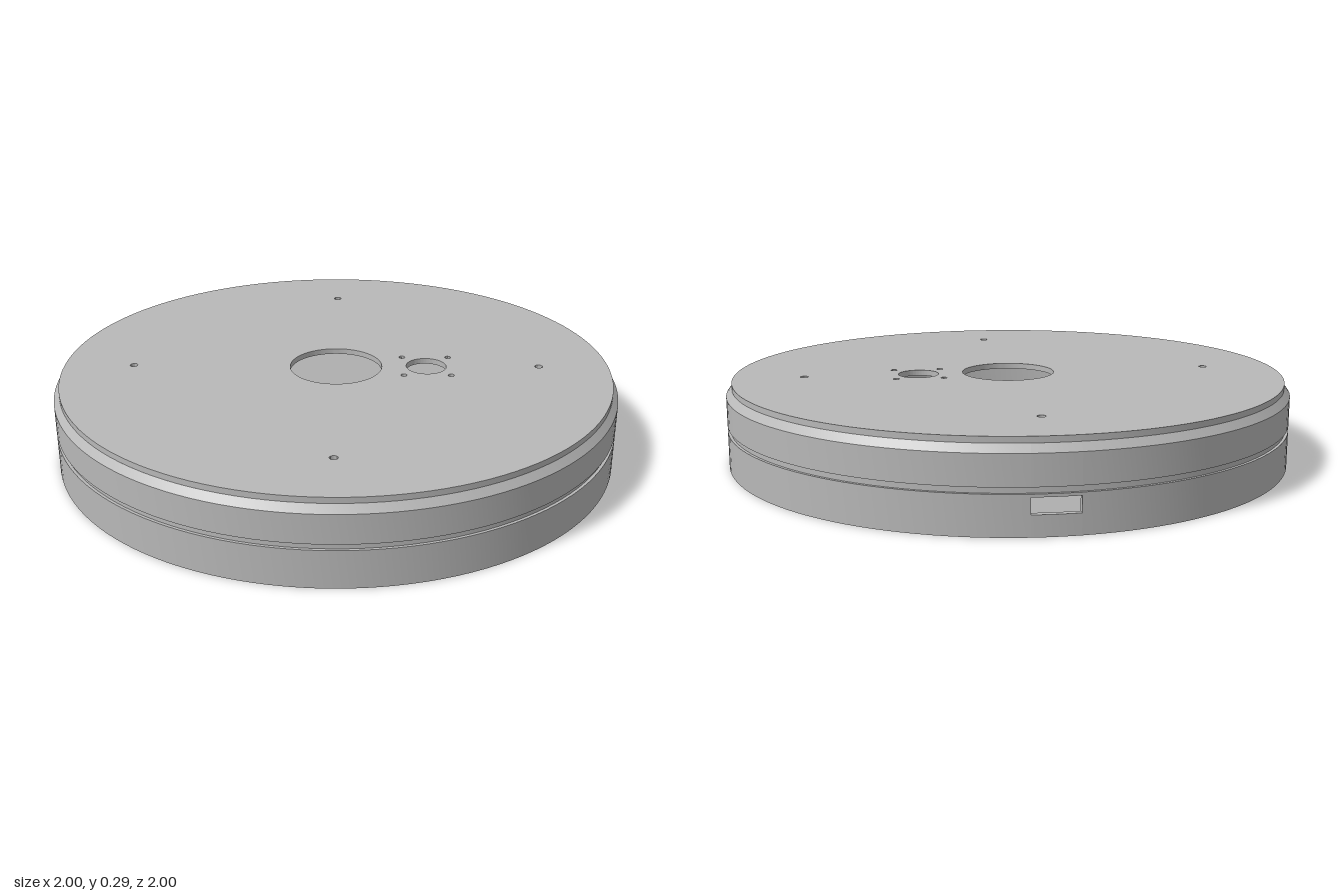
import * as THREE from 'three';
import { toCreasedNormals } from 'three/addons/utils/BufferGeometryUtils.js';

const grey = new THREE.MeshStandardMaterial({ color: 0xb8b8b8 });
grey.name = 'plain grey';

const SLOT = { half: 0.075, low: 0.068, high: 0.12 }; // cable slot at the back
const INNER = 0.98, PLATE_BOTTOM = 0.275, TOP = 0.295;

function part(name, geometry) {
  const mesh = new THREE.Mesh(toCreasedNormals(geometry, 0.5), grey);
  mesh.name = name;
  return mesh;
}

// Revolved part; profile is [radius, y], outside going up
function revolve(name, profile, segments, start = 0, length = Math.PI * 2) {
  const points = profile.map(([r, y]) => new THREE.Vector2(r, y));
  return part(name, new THREE.LatheGeometry(points, segments, start, length));
}

// Cross-section of the wall from a given height up: groove, chamfer and inner ledge
function wallProfile(bottom) {
  return [
    [INNER, bottom], [1, bottom], [1, 0.13], [0.99, 0.13], [0.99, 0.15], [1, 0.15],
    [1, 0.25], [0.98, PLATE_BOTTOM], [0.96, PLATE_BOTTOM], [0.96, 0.25],
    [INNER, 0.25], [INNER, bottom],
  ];
}

function createWall() {
  const wall = new THREE.Group();
  wall.name = 'wall';
  const a = SLOT.half;
  wall.add(
    revolve('mainWall', wallProfile(0), 128, Math.PI + a, 2 * Math.PI - 2 * a),
    revolve('wallAboveSlot', wallProfile(SLOT.high), 6, Math.PI - a, 2 * a),
    revolve('wallBelowSlot', [
      [INNER, 0], [1, 0], [1, SLOT.low], [INNER, SLOT.low], [INNER, 0],
    ], 6, Math.PI - a, 2 * a),
  );
  // Side faces of the slot
  for (const s of [-1, 1]) {
    const jamb = part('slotSide', new THREE.PlaneGeometry(1 - INNER, SLOT.high - SLOT.low));
    jamb.position.set(s * 0.99 * Math.sin(a), (SLOT.low + SLOT.high) / 2, -0.99 * Math.cos(a));
    jamb.rotation.y = -s * (Math.PI / 2 + a);
    wall.add(jamb);
  }
  return wall;
}

function createTopPlate() {
  const shape = new THREE.Shape().absarc(0, 0, 0.98, 0, Math.PI * 2);
  const hole = (x, z, r) =>
    shape.holes.push(new THREE.Path().absarc(x, -z, r, 0, Math.PI * 2, true));

  hole(0, 0, 0.165); // centre opening
  hole(0.325, 0, 0.072); // side opening with four screw holes
  for (const sx of [-1, 1]) for (const sz of [-1, 1]) hole(0.325 + sx * 0.084, sz * 0.084, 0.011);
  for (const s of [-1, 1]) { // outer mounting holes
    hole(s * 0.73, 0, 0.014);
    hole(0, s * 0.73, 0.014);
  }

  const geometry = new THREE.ExtrudeGeometry(shape, {
    depth: TOP - PLATE_BOTTOM, bevelEnabled: false, curveSegments: 64,
  });
  geometry.rotateX(-Math.PI / 2).translate(0, PLATE_BOTTOM, 0);
  return part('topPlate', geometry);
}

// Eight hollow screw posts hanging from the plate
function createPosts() {
  const posts = new THREE.Group();
  posts.name = 'screwPosts';
  for (let i = 0; i < 8; i++) {
    const angle = (i + 0.5) * Math.PI / 4;
    const post = revolve('screwPost', [
      [0, 0.12], [0.013, 0.12], [0.013, 0.02], [0.027, 0.02], [0.027, PLATE_BOTTOM],
    ], 24);
    post.position.set(0.935 * Math.sin(angle), 0, 0.935 * Math.cos(angle));
    posts.add(post);
  }
  return posts;
}

export function createModel() {
  const model = new THREE.Group();
  model.name = 'roundCover';
  model.add(createWall(), createTopPlate(), createPosts());
  return model;
}
